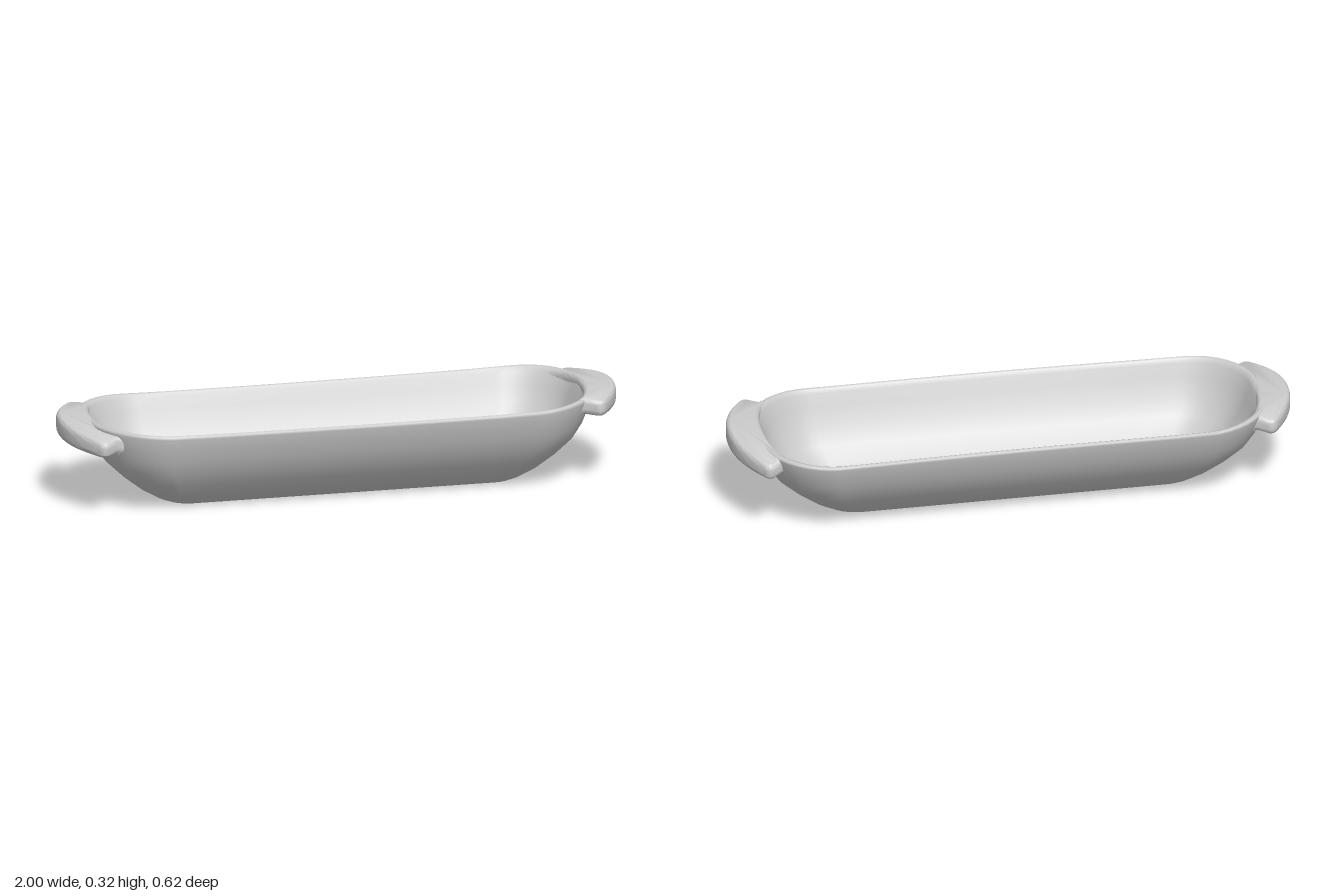
import * as THREE from 'three';
import { mergeVertices, toCreasedNormals } from 'three/addons/utils/BufferGeometryUtils.js';

const material = new THREE.MeshStandardMaterial({ color: 0xcccccc });

// Rounded rectangle of half sizes a, b and corner radius r, as [x, z] points
function ring(a, b, r, arc = 10, side = 10) {
  r = Math.min(r, b);
  const pts = [];
  for (let q = 0; q < 4; q++) {
    const sx = q === 0 || q === 3 ? 1 : -1, sz = q < 2 ? 1 : -1;
    for (let k = 0; k <= arc; k++) {
      const t = (q + k / arc) * Math.PI / 2;
      pts.push([sx * (a - r) + r * Math.cos(t), sz * (b - r) + r * Math.sin(t)]);
    }
    // subdivide the long sides
    if (q % 2 === 0) {
      for (let k = 1; k < side; k++) {
        pts.push([sx * (a - r) * (1 - 2 * k / side), sz * b]);
      }
    }
  }
  return pts;
}

// Slight hand-made unevenness of the dish
function warp(x, y, z) {
  const lift = THREE.MathUtils.smoothstep(Math.abs(x), 0.6, 0.9);
  const h = y / 0.3;
  return [
    x,
    y + h * 0.012 * lift + (1 - h) * (0.005 - 0.045 * z) - h * (0.002 - 0.008 * z),
    z * (1 + 0.03 * x) + h * (0.004 - 0.022 * x * x),
  ];
}

// Thin-walled trough: outer wall up, over the rim, inner wall down
function trough() {
  // [half length, half width, corner radius, height]
  const sections = [
    [0.55, 0, 0, 0], [0.60, 0.09, 0.08, 0], [0.635, 0.113, 0.09, 0.003], [0.66, 0.13, 0.10, 0.014],
    [0.72, 0.17, 0.13, 0.05], [0.785, 0.213, 0.165, 0.10], [0.84, 0.248, 0.195, 0.15],
    [0.873, 0.274, 0.22, 0.20], [0.893, 0.293, 0.235, 0.25], [0.902, 0.304, 0.24, 0.288],
    [0.901, 0.304, 0.24, 0.297], [0.893, 0.298, 0.235, 0.302], [0.882, 0.29, 0.23, 0.299],
    [0.873, 0.283, 0.225, 0.285], [0.855, 0.265, 0.215, 0.24], [0.83, 0.24, 0.19, 0.18],
    [0.785, 0.205, 0.16, 0.12], [0.725, 0.16, 0.125, 0.07], [0.66, 0.115, 0.09, 0.042],
    [0.60, 0.07, 0.06, 0.032], [0.50, 0, 0, 0.03],
  ];
  const pos = [], index = [];
  let n = 0;
  for (const [a, b, r, y] of sections) {
    const pts = ring(a, b, r);
    n = pts.length;
    for (const [x, z] of pts) pos.push(...warp(x, y, z));
  }
  for (let i = 0; i < sections.length - 1; i++) {
    for (let j = 0; j < n; j++) {
      const p = i * n + j, q = i * n + (j + 1) % n;
      index.push(p, p + n, q, q, p + n, q + n);
    }
  }
  let g = new THREE.BufferGeometry();
  g.setAttribute('position', new THREE.Float32BufferAttribute(pos, 3));
  g.setIndex(index);
  g = mergeVertices(g, 1e-5);
  g.computeVertexNormals();
  return g;
}

// Crescent ledge handle on the +x end
function handleGeometry() {
  const s = new THREE.Shape();
  s.moveTo(0.82, 0.215);
  s.lineTo(0.845, 0.215);
  s.lineTo(0.88, 0.248);
  s.quadraticCurveTo(0.90, 0.258, 0.915, 0.24);
  s.bezierCurveTo(0.975, 0.155, 1.0, 0.08, 1.0, 0);
  s.bezierCurveTo(1.0, -0.08, 0.975, -0.155, 0.915, -0.24);
  s.quadraticCurveTo(0.90, -0.258, 0.88, -0.248);
  s.lineTo(0.845, -0.215);
  s.lineTo(0.82, -0.215);
  s.bezierCurveTo(0.855, -0.165, 0.876, -0.10, 0.876, 0);
  s.bezierCurveTo(0.876, 0.10, 0.855, 0.165, 0.82, 0.215);
  const bevel = 0.024, depth = 0.026, thick = depth + 2 * bevel;
  let g = new THREE.ExtrudeGeometry(s, {
    depth, bevelThickness: bevel, bevelSize: 0.016, bevelOffset: -0.016,
    bevelSegments: 5, curveSegments: 14,
  });
  g.rotateX(Math.PI / 2);
  // thin towards the tips, arched and tilted along the width
  const p = g.attributes.position;
  for (let i = 0; i < p.count; i++) {
    const z = p.getZ(i);
    const t = (bevel - p.getY(i)) / thick;
    const top = 0.325 + 0.03 * z - 0.35 * z * z;
    const height = thick * (1 - 4 * z * z);
    p.setY(i, top - t * height);
  }
  g.deleteAttribute('uv');
  g.deleteAttribute('normal');
  g = mergeVertices(g, 1e-5);
  return toCreasedNormals(g, 0.8);
}

export function createModel() {
  const model = new THREE.Group();
  model.name = 'handledTrough';

  const bowl = new THREE.Mesh(trough(), material);
  bowl.name = 'bowl';
  model.add(bowl);

  // One handle on each end, the right one a little lower
  const g = handleGeometry();
  for (const side of [1, -1]) {
    const handle = new THREE.Mesh(g, material);
    handle.name = side > 0 ? 'leftHandle' : 'rightHandle';
    if (side < 0) {
      handle.rotation.y = Math.PI;
      handle.position.y = -0.012;
    }
    model.add(handle);
  }
  return model;
}
